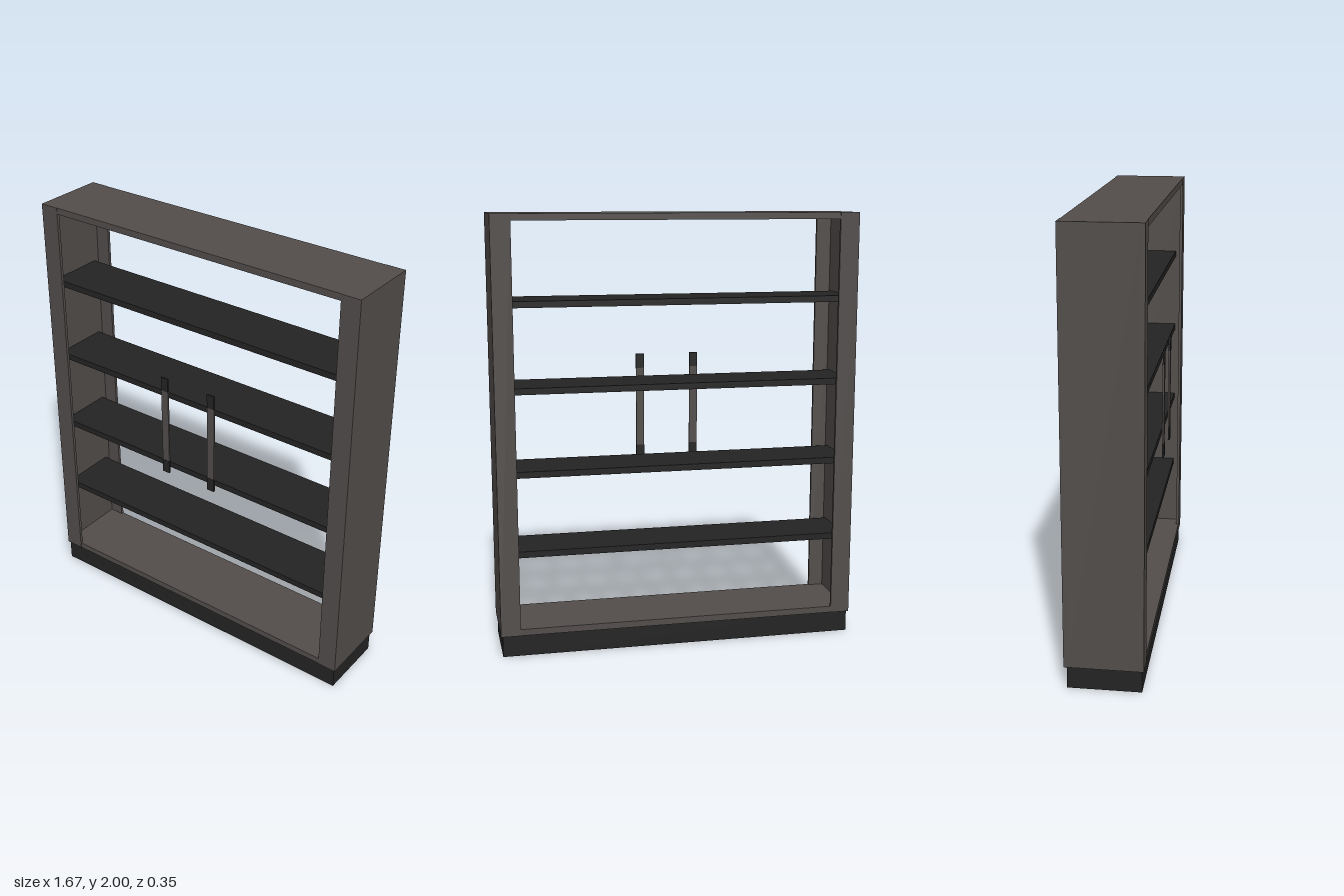
import * as THREE from 'three';

export function createModel() {
  const model = new THREE.Group();
  const wood = new THREE.MeshStandardMaterial({ color: 0x524d4b });
  wood.name = 'brown wood';
  const dark = new THREE.MeshStandardMaterial({ color: 0x222322 });
  dark.name = 'dark wood';

  // Box given by its lower and upper limits on each axis
  function box(name, material, [x0, x1], [y0, y1], [z0, z1]) {
    const mesh = new THREE.Mesh(new THREE.BoxGeometry(x1 - x0, y1 - y0, z1 - z0), material);
    mesh.position.set((x0 + x1) / 2, (y0 + y1) / 2, (z0 + z1) / 2);
    mesh.name = name;
    model.add(mesh);
  }

  const back = -0.177, front = 0.169, stile = 0.014;
  const height = [0.1, 2];

  // Recessed base
  box('plinth', dark, [-0.828, 0.825], [0, 0.1], [-0.164, 0.161]);

  // Side panels, each with a face stile at the front and the back
  for (const [side, outer, panel, inner] of [['left', 0.833, 0.813, 0.743], ['right', -0.835, -0.815, -0.745]]) {
    const span = (a, b) => [Math.min(a, b), Math.max(a, b)];
    box(side + 'Panel', wood, span(outer, panel), height, [back + stile, front - stile]);
    box(side + 'FrontStile', wood, span(outer, inner), height, [front - stile, front]);
    box(side + 'BackStile', wood, span(outer, inner), height, [back, back + stile]);
  }

  // Top and bottom boards, with rails between the stiles
  for (const [name, y] of [['top', [1.97, 2]], ['bottom', [0.1, 0.13]]]) {
    box(name + 'Board', wood, [-0.815, 0.813], y, [back + stile, front - stile]);
    box(name + 'FrontRail', wood, [-0.745, 0.743], y, [front - stile, front - 0.002]);
    box(name + 'BackRail', wood, [-0.745, 0.743], y, [back + 0.002, back + stile]);
  }

  // Shelves, set in from the front and the back
  for (const y of [0.457, 0.828, 1.207, 1.592]) {
    box('shelf', dark, [-0.815, 0.813], [y, y + 0.029], [-0.137, 0.13]);
  }

  // Door handles: a bar with dark ends
  for (const x of [-0.141, 0.119]) {
    const width = [x - 0.019, x + 0.019];
    box('handleBar', wood, width, [0.895, 1.268], [0.168, 0.176]);
    box('handleLowerEnd', dark, width, [0.829, 0.895], [0.168, 0.177]);
    box('handleUpperEnd', dark, width, [1.268, 1.335], [0.168, 0.177]);
  }

  return model;
}
